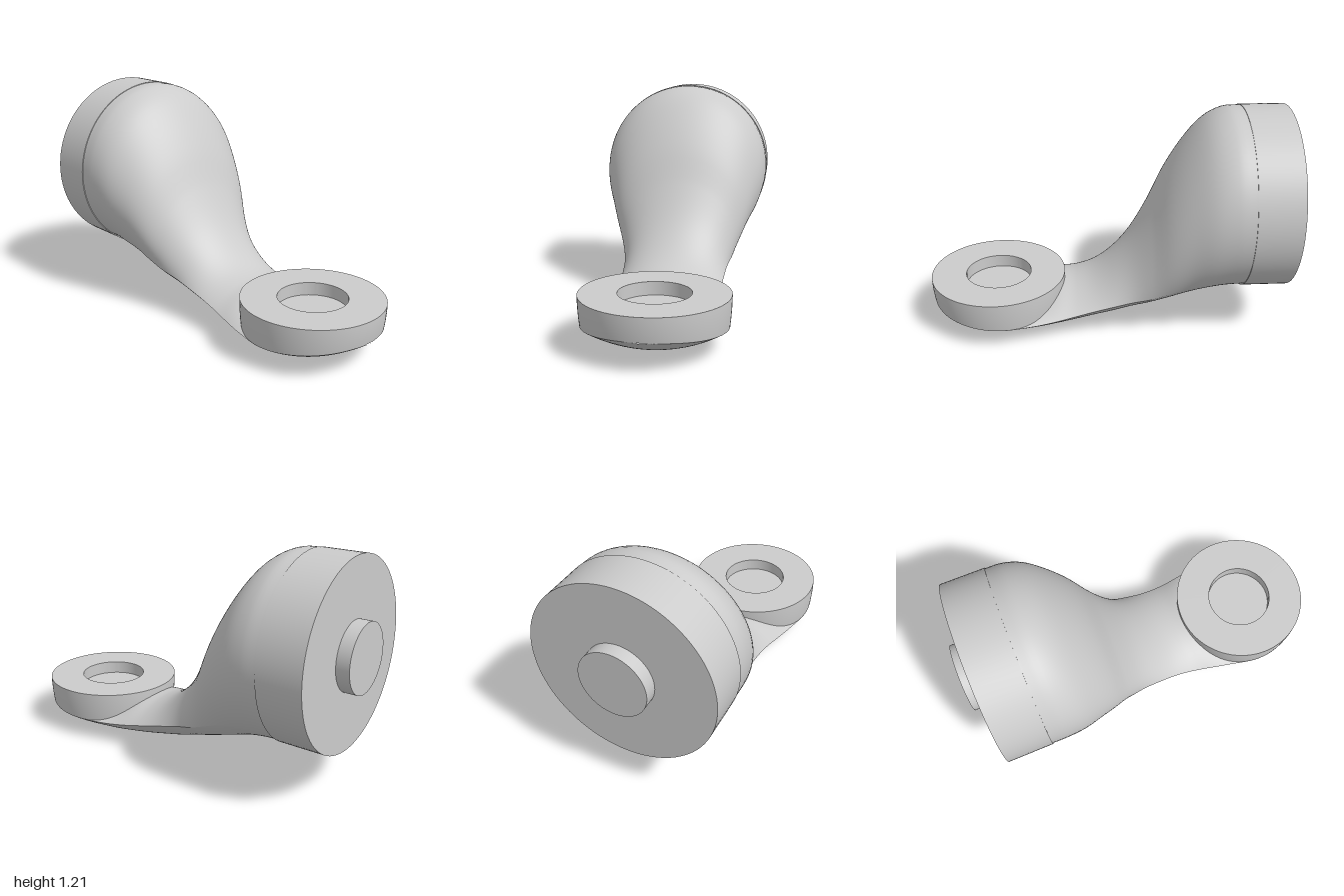
import * as THREE from 'three';
import { ParametricGeometry } from 'three/addons/geometries/ParametricGeometry.js';
import { toCreasedNormals } from 'three/addons/utils/BufferGeometryUtils.js';

// Cross-section stations along the arm: z, top y, side edge y, bottom y, half width at the edge
const STATIONS = [
  [-0.70, 1.207, 0.36, 0.24, 0.325],
  [-0.60, 1.20, 0.36, 0.235, 0.33],
  [-0.50, 1.145, 0.35, 0.22, 0.335],
  [-0.40, 1.03, 0.335, 0.19, 0.335],
  [-0.30, 0.87, 0.30, 0.16, 0.33],
  [-0.20, 0.66, 0.26, 0.13, 0.315],
  [-0.10, 0.49, 0.23, 0.10, 0.295],
  [0.00, 0.37, 0.20, 0.07, 0.285],
  [0.10, 0.29, 0.172, 0.047, 0.28],
  [0.20, 0.25, 0.148, 0.027, 0.285],
  [0.30, 0.24, 0.13, 0.014, 0.30],
  [0.43, 0.20, 0.118, 0.004, 0.325],
  [0.63, 0.19, 0.122, 0.015, 0.36],
  [0.80, 0.19, 0.135, 0.057, 0.317],
  [0.90, 0.19, 0.146, 0.102, 0.238],
  [0.99, 0.175, 0.16, 0.155, 0],
];
const PAD_Z = 0.63, PAD_R = 0.37, PAD_TOP = 0.28, EDGE_R = 0.36;
const HOLE_R = 0.18, HUB_Y = 0.72, HUB_R = 0.49;

const spline = new THREE.CubicInterpolant(
  STATIONS.map((s) => s[0]), STATIONS.flatMap((s) => s.slice(1)), 4, new Float64Array(4));

function section(z) {
  let [top, edge, bottom, w] = spline.evaluate(z);
  // the front end follows the round pad
  if (z > PAD_Z) w = Math.sqrt(Math.max(EDGE_R ** 2 - (z - PAD_Z) ** 2, 1e-6));
  return { top, edge, bottom, w };
}

// Circular arc from edge to edge through the top (side = 1) or the bottom (side = -1)
function armSurface(side) {
  return new ParametricGeometry((u, v, target) => {
    const z = -0.7 + 1.689 * Math.sin(v * Math.PI / 2);
    const { top, edge, bottom, w } = section(z);
    const apex = side > 0 ? top : bottom;
    const h = Math.abs(apex - edge);
    const r = (w * w + h * h) / (2 * h);
    const a = (2 * u - 1) * 2 * Math.atan2(h, w);
    target.set(-side * r * Math.sin(a), apex - side * r * (1 - Math.cos(a)), z);
  }, 72, 110);
}

export function createModel() {
  const group = new THREE.Group();
  const material = new THREE.MeshStandardMaterial({ color: 0xcccccc });
  const add = (name, geometry) => {
    const mesh = new THREE.Mesh(geometry, material);
    mesh.name = name;
    group.add(mesh);
    return mesh;
  };

  // Curved arm with a crease along each side
  add('armUpper', armSurface(1));
  add('armUnderside', armSurface(-1));

  // Round pad: tapered wall running down to the arm's crease
  add('padWall', new ParametricGeometry((u, v, target) => {
    const a = u * Math.PI * 2;
    const r = PAD_R - (PAD_R - EDGE_R) * (1 - v) ** 2;
    const { edge } = section(PAD_Z + EDGE_R * Math.cos(a));
    target.set(r * Math.sin(a), edge + v * (PAD_TOP - edge), PAD_Z + r * Math.cos(a));
  }, 96, 8));

  // Pad top with its shallow round socket
  const profile = [[PAD_R, PAD_TOP], [HOLE_R, PAD_TOP], [HOLE_R, 0.21], [0, 0.21]]
    .map(([x, y]) => new THREE.Vector2(x, y));
  const top = add('padTopWithSocket', toCreasedNormals(new THREE.LatheGeometry(profile, 96), 0.6));
  top.position.z = PAD_Z;

  // Upright hub and the peg on its back
  const disc = (name, r, z0, z1) => {
    const geometry = new THREE.CylinderGeometry(r, r, z1 - z0, 96).rotateX(Math.PI / 2);
    add(name, geometry).position.set(0, HUB_Y, (z0 + z1) / 2);
  };
  disc('hub', HUB_R, -0.93, -0.69);
  disc('peg', HOLE_R, -1, -0.92);

  return group;
}
